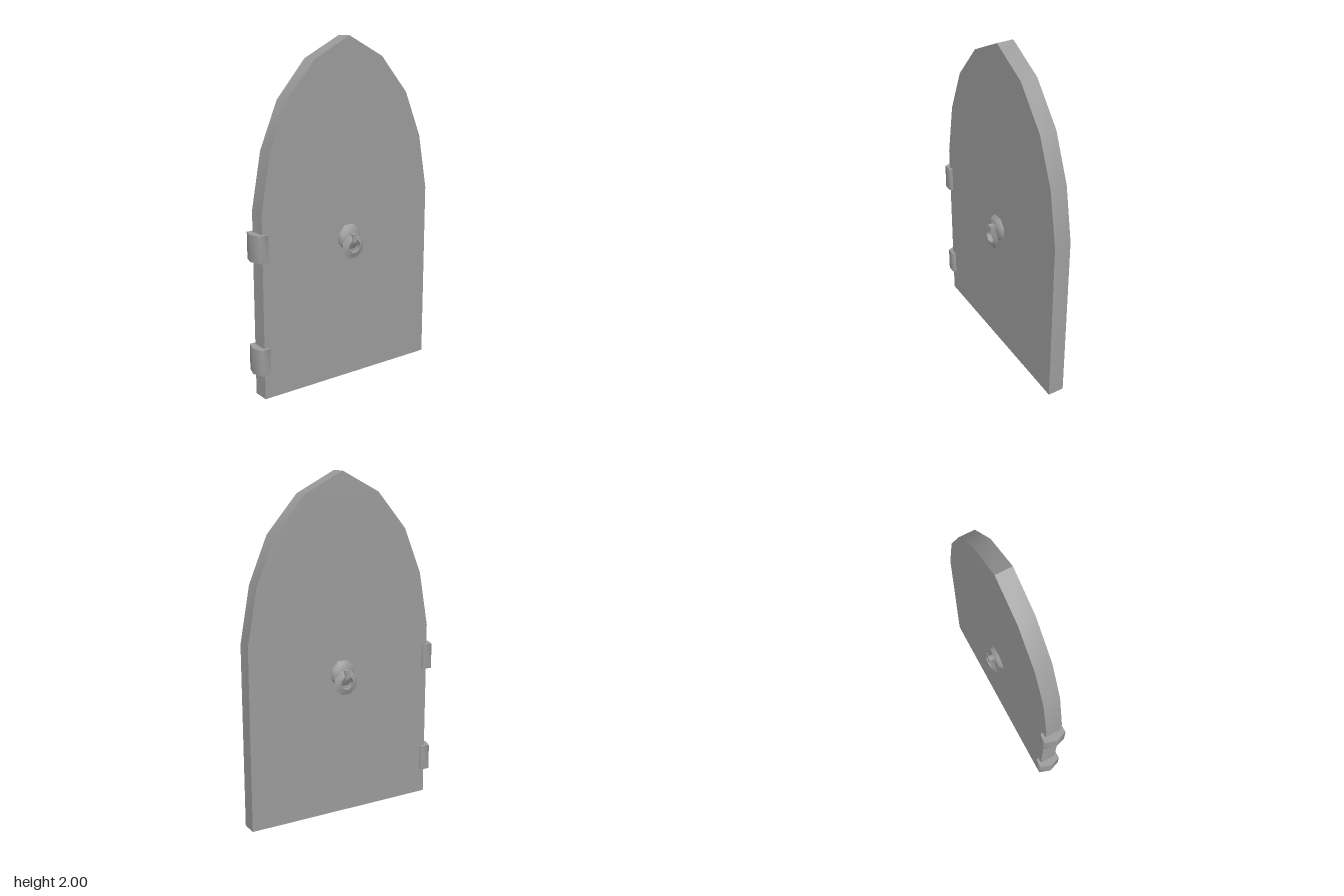
import * as THREE from 'three';
import { toCreasedNormals } from 'three/addons/utils/BufferGeometryUtils.js';

const CX = 0.023; // centre line of the door leaf
const HALF = 0.049; // half the door thickness

const material = new THREE.MeshStandardMaterial({ color: 0x9b9b9b });

function addMesh(parent, name, geometry, x = 0, y = 0, z = 0, crease = 0.3) {
  const mesh = new THREE.Mesh(toCreasedNormals(geometry, crease), material);
  mesh.name = name;
  mesh.position.set(x, y, z);
  parent.add(mesh);
  return mesh;
}

function extrude(points, depth) {
  const shape = new THREE.Shape(points.map(([x, y]) => new THREE.Vector2(x, y)));
  return new THREE.ExtrudeGeometry(shape, { depth, bevelEnabled: false });
}

// Ring pull on its softly shaded octagonal plate, facing +z
function createKnocker() {
  const knocker = new THREE.Group();
  knocker.name = 'knocker';

  const plate = new THREE.CylinderGeometry(0.069, 0.083, 0.025, 8);
  plate.rotateY(Math.PI / 8).rotateX(Math.PI / 2);
  addMesh(knocker, 'plate', plate, 0, 0.853, 0.0585, 1.3);

  // Wedge-shaped section: flat inside, sharp outer rim
  const section = [[0.041, -0.015], [0.078, 0], [0.041, 0.015], [0.041, -0.015]];
  const ring = new THREE.LatheGeometry(section.map(([r, h]) => new THREE.Vector2(r, h)), 8);
  ring.rotateY(Math.PI / 8).rotateX(Math.PI / 2);
  addMesh(knocker, 'ring', ring, 0, 0.806, 0.088, 0.9);

  addMesh(knocker, 'ringHolder', new THREE.BoxGeometry(0.03, 0.05, 0.045), 0, 0.855, 0.0825);
  return knocker;
}

export function createModel() {
  const door = new THREE.Group();
  door.name = 'archedDoor';

  // Door leaf with a pointed arch, its rim shaded smoothly up to the apex
  const side = [[0.59, 0], [0.59, 1.075], [0.53, 1.4], [0.419, 1.665], [0.234, 1.88]];
  const mirrored = side.map(([x, y]) => [-x, y]).reverse();
  const leaf = extrude([...side, [0, 2], ...mirrored], HALF * 2);
  addMesh(door, 'leaf', leaf, CX, 0, -HALF, 0.6);

  // Knockers on both faces
  for (const angle of [0, Math.PI]) {
    const knocker = createKnocker();
    knocker.position.x = CX;
    knocker.rotation.y = angle;
    door.add(knocker);
  }

  // Hinges wrapping the right edge
  const wrap = [
    [-0.53, -0.046], [-0.53, 0.046], [-0.54, 0.067], [-0.593, 0.067],
    [-0.615, 0], [-0.593, -0.067], [-0.54, -0.067],
  ];
  for (const y of [0.15, 0.805]) {
    const hinge = extrude(wrap, 0.153).rotateX(-Math.PI / 2);
    addMesh(door, 'hinge', hinge, 0, y, 0, 1.3);
  }

  return door;
}
